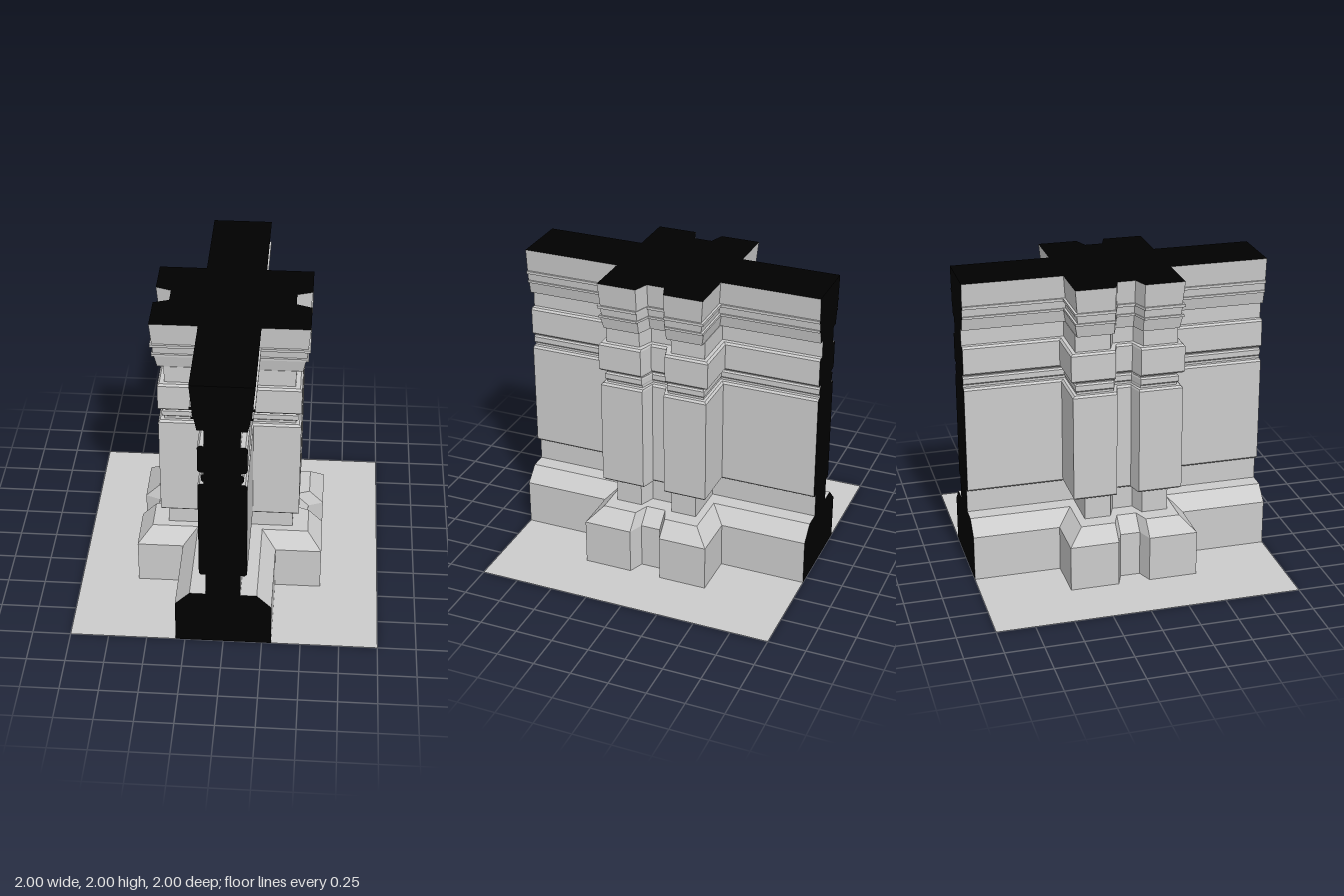
import * as THREE from 'three';

const REACH = 0.305; // how far the pier stands out from the wall
const GROOVE = 0.1; // depth of the slot down the middle of each pier

// Courses from the ground up, each starting where the last one ends.
// w: wall half width, wTop: the same at the top if it slopes, bevel: cut on both edges,
// extra: pier half length beyond w, slot: half width of the pier slot
const COURSES = [
  { name: 'plinth', top: 0.305, w: 0.31, extra: 0.115, slot: 0.065 },
  { name: 'plinthSlope', top: 0.4, w: 0.31, wTop: 0.215, extra: 0.115, slot: 0.065 },
  { name: 'lowerNeck', top: 0.562, w: 0.11, extra: 0.17, slot: 0.067 },
  { name: 'mainPanel', top: 1.285, w: 0.152, bevel: 0.013, extra: 0.21, slot: 0.046 },
  { name: 'lowerRecess', top: 1.302, w: 0.115, extra: 0.215, slot: 0.055 },
  { name: 'bead', top: 1.357, w: 0.13, bevel: 0.01, extra: 0.21, slot: 0.055 },
  { name: 'upperRecess', top: 1.373, w: 0.113, extra: 0.215, slot: 0.055 },
  { name: 'upperBand', top: 1.568, w: 0.152, bevel: 0.013, extra: 0.22, slot: 0.052 },
  { name: 'upperNeck', top: 1.682, w: 0.11, extra: 0.225, slot: 0.067 },
  { name: 'corniceFoot', top: 1.765, w: 0.152, wTop: 0.168, extra: 0.18, slot: 0.058 },
  { name: 'lowerFillet', top: 1.78, w: 0.185, extra: 0.165, slot: 0.058 },
  { name: 'frieze', top: 1.832, w: 0.175, wTop: 0.18, extra: 0.16, slot: 0.058 },
  { name: 'upperFillet', top: 1.85, w: 0.195, extra: 0.16, slot: 0.058 },
  { name: 'cornice', top: 2, w: 0.182, wTop: 0.195, extra: 0.157, slot: 0.058 },
];

// Levels { y, w, extra, slot } of one course that starts at height y
function courseLevels({ top, w, wTop = w, bevel = 0, extra, slot }, y) {
  const level = (h, half) => ({ y: h, w: half, extra, slot });
  if (!bevel) return [level(y, w), level(top, wTop)];
  return [
    level(y, w - bevel), level(y + bevel, w), level(top - bevel, w), level(top, w - bevel),
  ];
}

// Plan outline of one flank at a level, as [x, z] from back to front
function outline({ w, extra, slot }, side) {
  const x = w + REACH, z = w + extra;
  const half = [[x - GROOVE, slot], [x, slot * 1.6], [x, z], [w, z], [w, 1]];
  const back = half.map(([px, pz]) => [px, -pz]).reverse();
  return [...back, ...half].map(([px, pz]) => [px * side, pz]);
}

// Flat-faced skin joining the outlines of successive levels
function skin(levels, side) {
  const rings = levels.map((l) => outline(l, side).map(([x, z]) => [x, l.y, z]));
  const pos = [];
  for (let j = 0; j < rings.length - 1; j++) {
    for (let i = 0; i < rings[j].length - 1; i++) {
      const a = rings[j][i], b = rings[j][i + 1];
      const c = rings[j + 1][i + 1], d = rings[j + 1][i];
      const quad = side > 0 ? [a, d, c, a, c, b] : [a, c, d, a, b, c];
      quad.forEach((p) => pos.push(...p));
    }
  }
  const g = new THREE.BufferGeometry();
  g.setAttribute('position', new THREE.Float32BufferAttribute(pos, 3));
  g.computeVertexNormals();
  return g;
}

const polygon = (pts) =>
  new THREE.ShapeGeometry(new THREE.Shape(pts.map(([x, y]) => new THREE.Vector2(x, y))));

// Horizontal polygon facing up, from [x, z] points
const slab = (pts, y) =>
  polygon(pts.map(([x, z]) => [x, -z])).rotateX(-Math.PI / 2).translate(0, y, 0);

export function createModel() {
  const group = new THREE.Group();
  const stone = new THREE.MeshStandardMaterial({
    color: 0xcccccc, flatShading: true, side: THREE.DoubleSide,
  });
  const dark = new THREE.MeshStandardMaterial({ color: 0x000000, side: THREE.DoubleSide });
  const add = (name, geometry, material) => {
    const mesh = new THREE.Mesh(geometry, material);
    mesh.name = name;
    group.add(mesh);
  };

  // Courses on both flanks, each with the ledge that joins it to the one below
  const levels = [];
  for (const course of COURSES) {
    const below = levels.slice(-1);
    const own = courseLevels(course, below.length ? below[0].y : 0);
    add(`${course.name}Left`, skin([...below, ...own], 1), stone);
    add(`${course.name}Right`, skin([...below, ...own], -1), stone);
    levels.push(...own);
  }

  // Ground on either side of the wall
  add('floorLeft', slab([...outline(levels[0], 1), [1, 1], [1, -1]], 0), stone);
  add('floorRight', slab([...outline(levels[0], -1), [-1, 1], [-1, -1]], 0), stone);

  // Dark cut face along the top
  const top = levels[levels.length - 1];
  add('topCutFace', slab([...outline(top, 1), ...outline(top, -1).reverse()], 2), dark);

  // Dark cut faces at the two wall ends
  const profile = levels.map(({ y, w }) => [w, y]);
  const ends = [...profile, ...profile.map(([x, y]) => [-x, y]).reverse()];
  add('frontCutFace', polygon(ends).translate(0, 0, 1), dark);
  add('backCutFace', polygon(ends).translate(0, 0, 1).rotateY(Math.PI), dark);

  return group;
}
